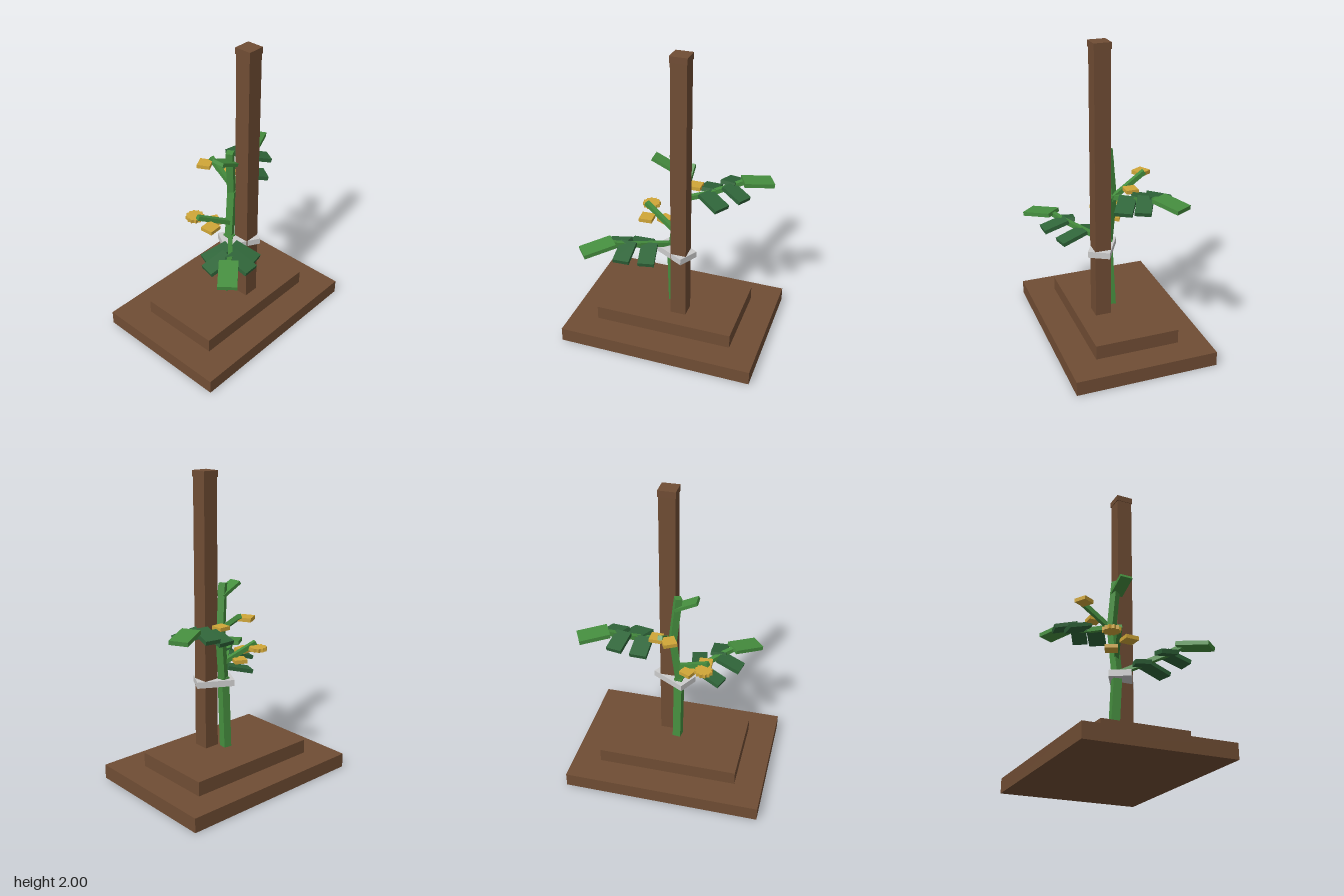
import * as THREE from 'three';

const mat = (name, color) => {
  const m = new THREE.MeshStandardMaterial({ color });
  m.name = name;
  return m;
};

export function createModel() {
  const wood = mat('wood', 0x704d34);
  const stemGreen = mat('stemGreen', 0x468f3f);
  const leafGreen = mat('leafGreen', 0x30663a);
  const yellow = mat('flowerYellow', 0xd0a638);
  const clipGrey = mat('clipGrey', 0xcccccc);
  const model = new THREE.Group();
  model.name = 'stakedPlant';

  const group = (name) => {
    const g = new THREE.Group();
    g.name = name;
    model.add(g);
    return g;
  };

  // Upright box given by its centre and size
  const block = (parent, name, material, [w, h, d], [x, y, z], turn = 0) => {
    const m = new THREE.Mesh(new THREE.BoxGeometry(w, h, d), material);
    m.name = name;
    m.position.set(x, y, z);
    m.rotation.y = turn;
    parent.add(m);
    return m;
  };

  // Box running from point a to point b
  const bar = (parent, name, material, a, b, width, thick) => {
    const p = new THREE.Vector3(...a), q = new THREE.Vector3(...b);
    const m = new THREE.Mesh(new THREE.BoxGeometry(width, thick, p.distanceTo(q)), material);
    m.name = name;
    m.position.copy(p).add(q).multiplyScalar(0.5);
    m.lookAt(q);
    parent.add(m);
    return m;
  };

  const chain = (parent, name, points, size) => {
    for (let i = 0; i < points.length - 1; i++) {
      bar(parent, name, stemGreen, points[i], points[i + 1], size, size);
    }
  };

  // Stepped base, stake and its cap
  block(model, 'lowerBase', wood, [1.3, 0.095, 0.93], [0, 0.0475, -0.015]);
  block(model, 'upperBase', wood, [0.93, 0.095, 0.555], [0, 0.1425, -0.015]);
  block(model, 'stake', wood, [0.104, 1.78, 0.104], [0.072, 1.08, 0.095]);
  block(model, 'stakeCap', wood, [0.112, 0.04, 0.112], [0.072, 1.98, 0.095]);

  // Clip holding the stem to the stake
  block(model, 'clip', clipGrey, [0.245, 0.042, 0.142], [0.03, 0.638, 0.068], -0.513);

  // Main stem, bending at each node
  const stem = group('stem');
  bar(stem, 'lowerStem', stemGreen, [-0.007, 0.17, -0.006], [-0.01, 0.67, 0.02], 0.055, 0.055);
  bar(stem, 'middleStem', stemGreen, [-0.01, 0.64, 0.02], [0.03, 0.99, 0.005], 0.048, 0.048);
  bar(stem, 'upperStem', stemGreen, [0.03, 0.96, 0.0], [-0.004, 1.3, 0.018], 0.044, 0.044);
  bar(stem, 'topLeaf', stemGreen, [0.015, 1.22, 0.027], [-0.128, 1.288, 0.033], 0.085, 0.022);

  // Compound leaf: a jointed stalk, paired drooping leaflets and a bright end leaf
  const compoundLeaf = (name, stalk, leaflets, end) => {
    const g = group(name);
    chain(g, 'leafStalk', stalk, 0.03);
    for (const [a, b, w] of leaflets) bar(g, 'leaflet', leafGreen, a, b, w, 0.027);
    bar(g, 'endLeaflet', stemGreen, end[0], end[1], 0.12, 0.027);
  };

  compoundLeaf('lowerLeaf',
    [[-0.01, 0.66, 0.03], [-0.12, 0.695, 0.13], [-0.24, 0.735, 0.24], [-0.33, 0.765, 0.305]],
    [
      [[-0.125, 0.69, 0.125], [-0.291, 0.642, 0.063], 0.098],
      [[-0.122, 0.705, 0.147], [-0.085, 0.66, 0.32], 0.105],
      [[-0.24, 0.738, 0.222], [-0.398, 0.688, 0.188], 0.105],
      [[-0.23, 0.748, 0.232], [-0.222, 0.703, 0.397], 0.105],
    ],
    [[-0.312, 0.772, 0.293], [-0.471, 0.738, 0.428]]);

  compoundLeaf('upperLeaf',
    [[0.04, 0.99, 0], [0.19, 1.02, -0.07], [0.31, 1.06, -0.125], [0.4, 1.095, -0.165]],
    [
      [[0.188, 1.04, -0.088], [0.192, 0.998, -0.24], 0.11],
      [[0.182, 1.035, -0.05], [0.324, 0.988, 0.036], 0.112],
      [[0.308, 1.087, -0.13], [0.334, 1.048, -0.28], 0.1],
      [[0.312, 1.08, -0.115], [0.447, 1.032, -0.042], 0.1],
    ],
    [[0.4, 1.103, -0.16], [0.572, 1.083, -0.25]]);

  // Flower stalks
  const flowers = group('flowers');
  bar(flowers, 'lowerFlowerStalk', stemGreen, [0, 0.765, 0.02], [-0.22, 0.88, -0.06], 0.03, 0.03);
  bar(flowers, 'upperFlowerStalk', stemGreen, [0.056, 0.99, 0.005], [0.056, 1.14, -0.205], 0.03, 0.03);

  // Square flowers and one full bloom of crossed squares
  const flower = (pos, size, turn) =>
    block(flowers, 'flower', yellow, [size, 0.025, size], pos, turn);
  flower([-0.085, 0.785, -0.053], 0.082, -0.45);
  flower([-0.186, 0.818, 0.02], 0.088, 0.06);
  flower([0, 1.117, -0.205], 0.085, 0.5);
  flower([0.11, 1.052, -0.093], 0.08, 0);
  for (let i = 0; i < 3; i++) flower([-0.2, 0.853, -0.105], 0.085, 0.1 + i * Math.PI / 6);

  return model;
}
